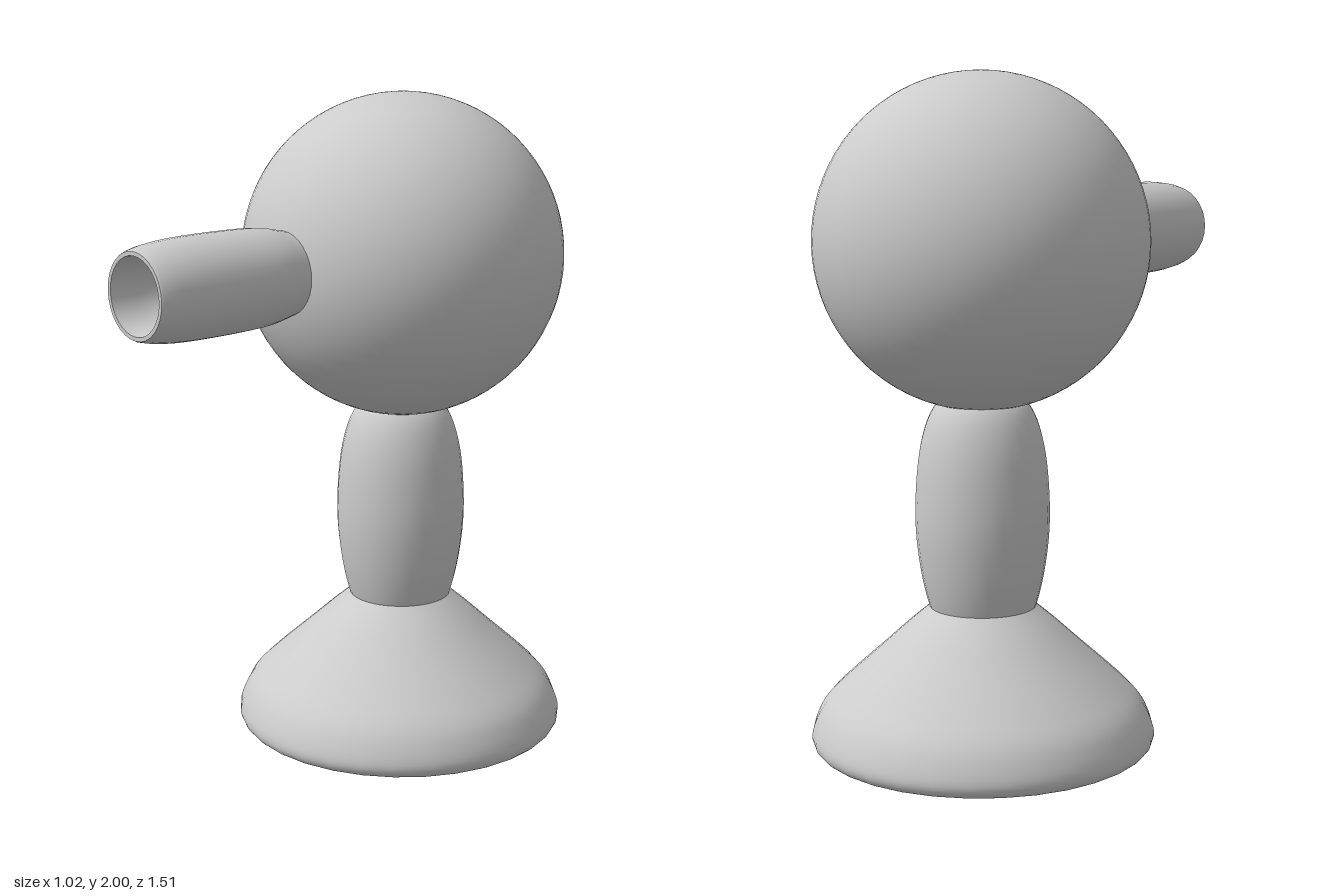
import * as THREE from 'three';

const AXIS_Z = -0.245;
const HEAD_Y = 1.51;

// Smooth closed-in lathe through [radius, height] points; each run is splined, runs meet at a sharp edge
function turned(name, runs, sides, material) {
  const group = new THREE.Group();
  group.name = name;
  for (const run of runs) {
    const curve = new THREE.SplineCurve(run.map(([r, y]) => new THREE.Vector2(r, y)));
    const points = curve.getPoints(run.length * 4);
    points.forEach((p) => { p.x = Math.max(p.x, 0); });
    const mesh = new THREE.Mesh(new THREE.LatheGeometry(points, sides), material);
    mesh.name = name + 'Surface';
    group.add(mesh);
  }
  return group;
}

export function createModel() {
  const model = new THREE.Group();
  model.name = 'model';
  const grey = new THREE.MeshStandardMaterial({ color: 0xcccccc, side: THREE.DoubleSide });

  // Flared foot with a rounded rim and a hollow underside
  const base = turned('base', [
    [[0, 0.3], [0.1, 0.28], [0.25, 0.17], [0.37, 0.06], [0.42, 0.02], [0.47, 0.005],
      [0.5, 0.015], [0.512, 0.045], [0.498, 0.095], [0.466, 0.15], [0.4, 0.215],
      [0.3, 0.305], [0.22, 0.378], [0.155, 0.433]],
  ], 32, grey);
  base.position.z = AXIS_Z;
  model.add(base);

  // Barrel-shaped neck
  const neck = turned('neck', [
    [[0.14, 0.4], [0.158, 0.43], [0.182, 0.53], [0.197, 0.65], [0.198, 0.76],
      [0.188, 0.88], [0.168, 0.97], [0.14, 1.03], [0.1, 1.07]],
  ], 32, grey);
  neck.position.z = AXIS_Z;
  model.add(neck);

  // Round head
  const head = new THREE.Mesh(new THREE.SphereGeometry(0.49, 64, 40), grey);
  head.name = 'head';
  head.position.set(0, HEAD_Y, AXIS_Z);
  model.add(head);

  // Forward tube: outer wall, flat lip and tapering bore
  const snout = turned('snout', [
    [[0.115, 0.18], [0.127, 0.24], [0.139, 0.3], [0.145, 0.37], [0.147, 0.5],
      [0.145, 0.62], [0.138, 0.7], [0.129, 0.745], [0.124, 0.757]],
    [[0.124, 0.757], [0.112, 0.757]],
    [[0.112, 0.757], [0.108, 0.72], [0.095, 0.62], [0.06, 0.52], [0, 0.46]],
  ], 32, grey);
  snout.rotation.x = Math.PI / 2;
  snout.position.y = HEAD_Y - 0.003;
  model.add(snout);

  return model;
}
